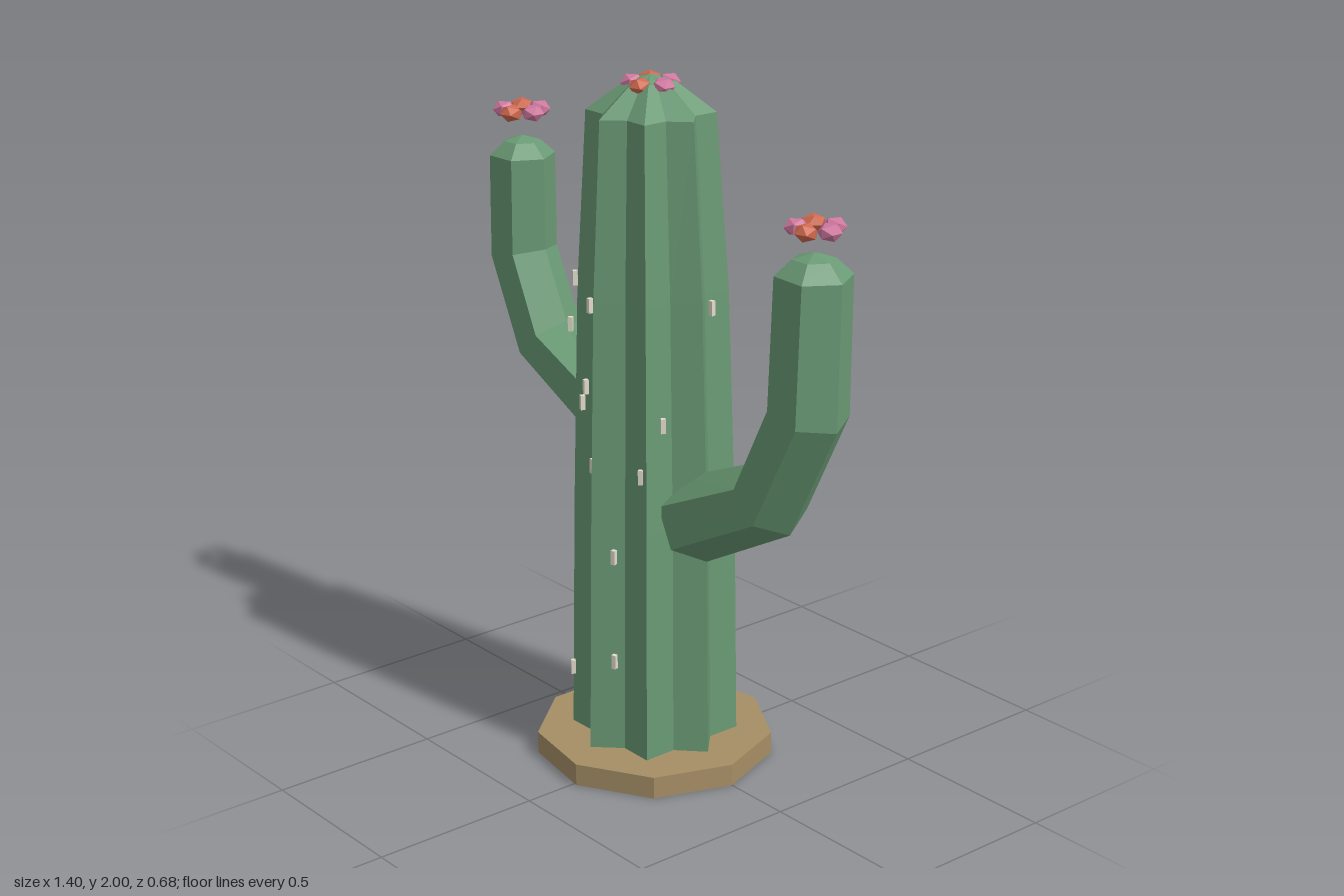
import * as THREE from 'three';

const mat = (color) => new THREE.MeshStandardMaterial({ color, flatShading: true });
const green = mat(0x6a9a75), soil = mat(0xa68e66), pink = mat(0xd0789f), orange = mat(0xd0694f), cream = mat(0xe2dccb);
const V = (x, y, z) => new THREE.Vector3(x, y, z);

function add(parent, name, geometry, material) {
  const mesh = new THREE.Mesh(geometry, material);
  mesh.name = name;
  parent.add(mesh);
  return mesh;
}

// Skin a list of equal-sized rings, closed at both ends by a fan to a point
function loft(rings, start, end) {
  const pos = [];
  const tri = (...pts) => pts.forEach((p) => pos.push(p.x, p.y, p.z));
  const n = rings[0].length, last = rings.length - 1;
  for (let j = 0; j < n; j++) {
    const k = (j + 1) % n;
    for (let i = 0; i < last; i++) {
      const a = rings[i], b = rings[i + 1];
      tri(a[j], a[k], b[k]);
      tri(a[j], b[k], b[j]);
    }
    tri(start, rings[0][k], rings[0][j]);
    tri(rings[last][j], rings[last][k], end);
  }
  const g = new THREE.BufferGeometry();
  g.setAttribute('position', new THREE.Float32BufferAttribute(pos, 3));
  g.computeVertexNormals();
  return g;
}

// Ribbed trunk: eight ridges with valleys between, ending in a low dome
function trunkGeometry() {
  const profile = [[0.05, 0.24, 0], [0.75, 0.229, 0], [1.4, 0.21, 0.004], [1.9, 0.178, 0.01], [1.982, 0.068, 0.01]];
  const rings = profile.map(([y, r, z]) => Array.from({ length: 16 }, (_, i) => {
    const a = (i * Math.PI) / 8, rr = i % 2 ? r * 0.76 : r;
    return V(-0.05 + rr * Math.sin(a), y, z + rr * Math.cos(a));
  }));
  return loft(rings, V(-0.05, 0.05, 0), V(-0.05, 2, 0.01));
}

// Six-sided arm swept along a bent path, ending in a rounded tip
function armGeometry(path, radii, tipHeight) {
  const pts = path.map((p) => V(...p));
  const h = pts[pts.length - 1].clone().sub(pts[0]).setY(0).normalize();
  const side = V(-h.z, 0, h.x);
  const dir = (i) => pts[i + 1].clone().sub(pts[i]).normalize();
  const ring = (c, t, r) => {
    const u = side.clone().cross(t).normalize();
    return Array.from({ length: 6 }, (_, j) => {
      const a = (j * Math.PI) / 3;
      return c.clone().addScaledVector(u, r * Math.cos(a)).addScaledVector(side, r * Math.sin(a));
    });
  };
  const n = pts.length;
  const rings = pts.map((c, i) => {
    const t = V(0, 0, 0);
    if (i > 0) t.add(dir(i - 1));
    if (i < n - 1) t.add(dir(i));
    return ring(c, t.normalize(), radii[i]);
  });
  const top = pts[n - 1], up = V(0, 1, 0);
  rings.push(ring(top.clone().addScaledVector(up, tipHeight * 0.72), up, radii[n - 1] * 0.55));
  return loft(rings, pts[0], top.clone().addScaledVector(up, tipHeight));
}

// Ring of five flattened blossoms in alternating colours
function blossoms(name, x, y, z) {
  const group = new THREE.Group();
  group.name = name;
  group.position.set(x, y, z);
  for (let i = 0; i < 5; i++) {
    const a = (i * Math.PI * 2) / 5;
    const petal = add(group, 'blossom', new THREE.IcosahedronGeometry(0.034, 0), i % 2 ? orange : pink);
    petal.scale.y = 0.75;
    petal.position.set(0.052 * Math.cos(a), 0, 0.052 * Math.sin(a));
    petal.rotation.y = -a;
  }
  return group;
}

export function createModel() {
  const model = new THREE.Group();
  model.name = 'cactus';

  // Nine-sided ground slab
  const base = add(model, 'groundSlab', new THREE.CylinderGeometry(0.345, 0.345, 0.065, 9), soil);
  base.position.set(-0.05, 0.0325, 0);
  base.rotation.y = Math.PI / 2;

  add(model, 'trunk', trunkGeometry(), green);

  // Arms
  add(model, 'leftArm', armGeometry(
    [[0.124, 0.764, 0], [0.44, 0.92, 0], [0.583, 1.205, 0], [0.593, 1.585, 0]],
    [0.124, 0.113, 0.112, 0.106], 0.06), green);
  add(model, 'rightArm', armGeometry(
    [[-0.17, 0.985, 0.005], [-0.495, 1.147, 0.024], [-0.606, 1.39, 0.03], [-0.606, 1.677, 0.03]],
    [0.11, 0.1, 0.097, 0.095], 0.055), green);

  // Blossoms on the trunk and above each arm
  model.add(blossoms('trunkBlossoms', -0.05, 1.975, 0.01));
  model.add(blossoms('leftArmBlossoms', 0.597, 1.71, 0));
  model.add(blossoms('rightArmBlossoms', -0.605, 1.805, 0.03));

  // Short spines scattered round the trunk
  const spines = new THREE.Group();
  spines.name = 'spines';
  model.add(spines);
  const spots = [
    [0.02, 0.67, 0.205], [0.02, 0.35, 0.205], [0.09, 0.92, 0.165], [0.13, 1.07, 0.117], [-0.065, 0.92, 0.21],
    [-0.105, 1.14, 0.2], [-0.12, 1.09, 0.2], [-0.07, 1.385, 0.21], [-0.16, 1.44, 0.19], [-0.19, 0.255, 0.19],
    [-0.235, 1.28, 0.15], [-0.255, 1.385, 0.07], [-0.265, 1.5, -0.03], [-0.265, 1.54, -0.02], [0.16, 1.385, -0.03],
    [0.01, 0.61, -0.205], [-0.02, 0.35, -0.215], [-0.08, 0.76, -0.22], [-0.12, 0.92, -0.2], [-0.14, 0.96, -0.195],
    [-0.165, 0.43, -0.185], [-0.165, 0.3, -0.185], [-0.2, 1.19, -0.15], [0.02, 1.37, -0.19], [-0.225, 0.75, -0.13],
  ];
  const spineGeometry = new THREE.BoxGeometry(0.013, 0.042, 0.013);
  for (const [x, y, z] of spots) {
    const spine = add(spines, 'spine', spineGeometry, cream);
    spine.position.set(x, y, z);
    spine.rotation.y = Math.atan2(x + 0.05, z);
  }
  return model;
}
